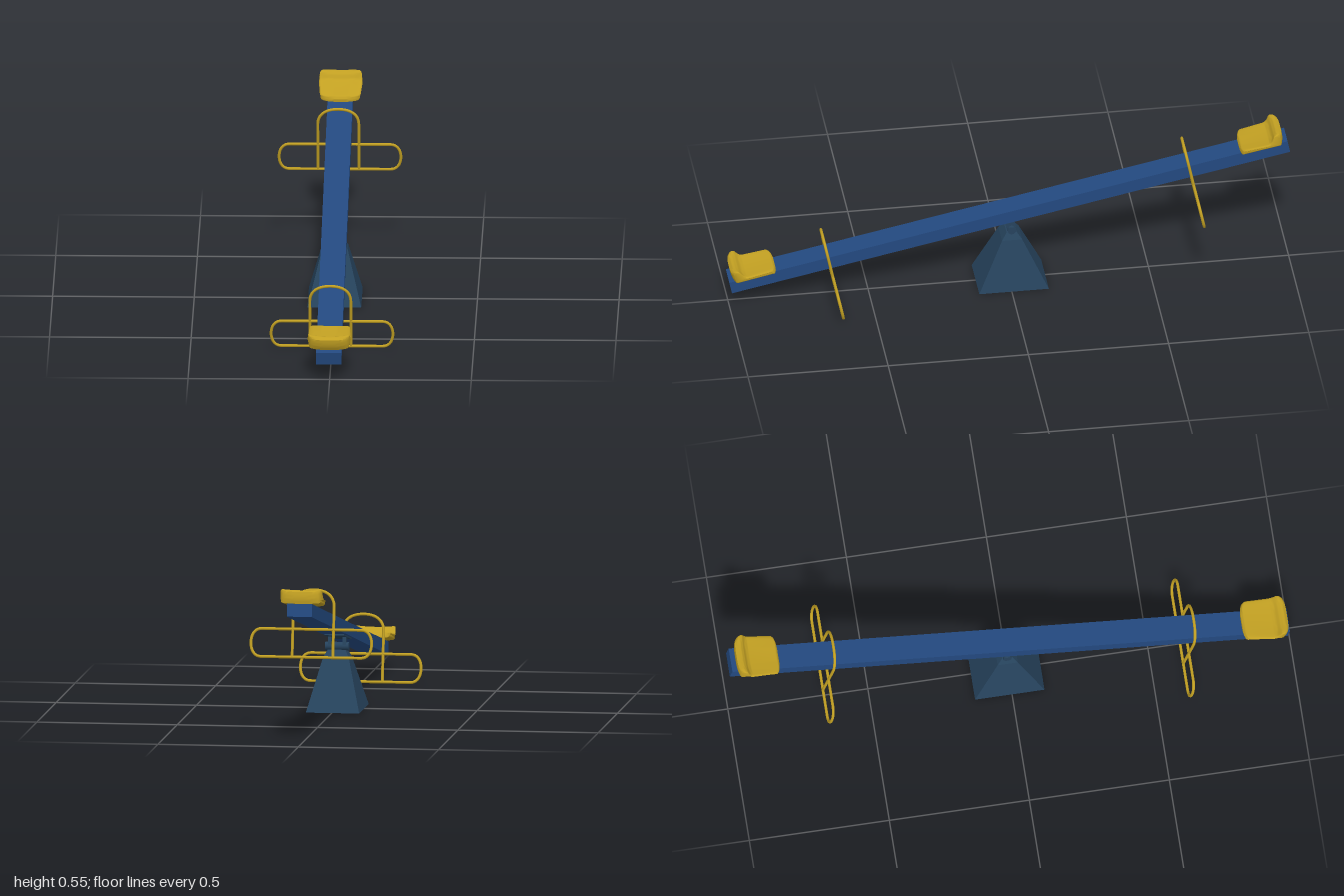
import * as THREE from 'three';
import { mergeVertices, toCreasedNormals } from 'three/addons/utils/BufferGeometryUtils.js';

const TILT = 0.2036;
const THICK = 0.046;

function material(name, color) {
  const m = new THREE.MeshStandardMaterial({ color });
  m.name = name;
  return m;
}

function addMesh(parent, name, geometry, mat, x = 0, y = 0, z = 0) {
  const mesh = new THREE.Mesh(geometry, mat);
  mesh.name = name;
  mesh.position.set(x, y, z);
  parent.add(mesh);
  return mesh;
}

// Four-sided frustum standing on its base, with flat faces
function frustum(bottomX, bottomZ, topX, topZ, height) {
  const g = new THREE.BoxGeometry(2, height, 2);
  const p = g.attributes.position;
  for (let i = 0; i < p.count; i++) {
    const top = p.getY(i) > 0;
    p.setX(i, p.getX(i) * (top ? topX : bottomX));
    p.setZ(i, p.getZ(i) * (top ? topZ : bottomZ));
  }
  g.translate(0, height / 2, 0);
  g.computeVertexNormals();
  return g;
}

// Bent tube following a flat path
function pipe(path, count, closed) {
  const points = path.getSpacedPoints(count).map((p) => new THREE.Vector3(p.x, p.y, 0));
  if (closed) points.pop();
  const curve = new THREE.CatmullRomCurve3(points, closed);
  return new THREE.TubeGeometry(curve, count * 2, 0.0052, 8, closed);
}

// Wide rounded loop for the feet
function footrestGeometry() {
  const path = new THREE.Path();
  const w = 0.215, s = 0.178, top = -0.044, bottom = -0.143, mid = -0.0935;
  path.moveTo(-s, bottom);
  path.lineTo(s, bottom);
  path.bezierCurveTo(s + 0.026, bottom, w, mid - 0.025, w, mid);
  path.bezierCurveTo(w, mid + 0.025, s + 0.026, top, s, top);
  path.lineTo(-s, top);
  path.bezierCurveTo(-s - 0.026, top, -w, mid + 0.025, -w, mid);
  path.bezierCurveTo(-w, mid - 0.025, -s - 0.026, bottom, -s, bottom);
  return pipe(path, 72, true);
}

// Upright arch for the hands
function handleGeometry() {
  const path = new THREE.Path();
  const w = 0.0725, top = 0.096;
  path.moveTo(-w, -0.143);
  path.lineTo(-w, 0.035);
  path.bezierCurveTo(-w, 0.075, -0.045, top, 0, top);
  path.bezierCurveTo(0.045, top, w, 0.075, w, 0.035);
  path.lineTo(w, -0.143);
  return pipe(path, 56, false);
}

// Padded seat with a raised back lip, bowed at its edges
function seatGeometry() {
  const s = new THREE.Shape();
  s.moveTo(-0.074, 0.006);
  s.lineTo(0.07, 0.006);
  s.quadraticCurveTo(0.077, 0.02, 0.075, 0.04);
  s.quadraticCurveTo(0.067, 0.049, 0.056, 0.041);
  s.quadraticCurveTo(0.045, 0.02, 0.028, 0.016);
  s.lineTo(-0.066, 0.016);
  s.quadraticCurveTo(-0.075, 0.015, -0.074, 0.006);
  let g = new THREE.ExtrudeGeometry(s, {
    depth: 0.14, steps: 12, curveSegments: 6,
    bevelEnabled: true, bevelThickness: 0.007, bevelSize: 0.005, bevelSegments: 3,
  });
  g.translate(0, 0, -0.07);
  g.rotateY(-Math.PI / 2);
  const p = g.attributes.position;
  for (let i = 0; i < p.count; i++) {
    const x = p.getX(i), z = p.getZ(i);
    const k = (x / 0.077) ** 2;
    p.setXYZ(i, x * (1 - 0.14 * (z / 0.08) ** 4), p.getY(i) + 0.004 * k, z * (1 - 0.12 * k * k));
  }
  g.deleteAttribute('uv');
  g.deleteAttribute('normal');
  g = mergeVertices(g, 1e-5);
  return toCreasedNormals(g, 0.7);
}

export function createModel() {
  const blue = material('beam blue', 0x23497f);
  const slate = material('base slate blue', 0x26435d);
  const yellow = material('seat yellow', 0xc2a022);
  const model = new THREE.Group();
  model.name = 'seesaw';

  // Fixed pivot stand
  const stand = new THREE.Group();
  stand.name = 'stand';
  stand.position.set(-0.003, 0, -0.008);
  model.add(stand);
  addMesh(stand, 'standBase', frustum(0.095, 0.124, 0.046, 0.036, 0.185), slate);
  addMesh(stand, 'standCap', frustum(0.046, 0.036, 0.032, 0.018, 0.025), slate, 0, 0.185, 0);
  const axle = new THREE.CylinderGeometry(0.015, 0.015, 0.084, 16);
  axle.rotateZ(Math.PI / 2);
  addMesh(stand, 'pivotAxle', axle, slate, 0, 0.222, 0);

  // Tilting assembly
  const tilting = new THREE.Group();
  tilting.name = 'tiltingBeam';
  tilting.position.y = 0.281;
  tilting.rotation.x = TILT;
  model.add(tilting);
  addMesh(tilting, 'beam', new THREE.BoxGeometry(0.089, THICK, 2.033), blue, -0.0035, 0, 0);
  addMesh(tilting, 'pivotPlate', new THREE.BoxGeometry(0.07, 0.006, 0.2), slate, -0.0035, -THICK / 2 - 0.002, 0.01);
  for (const side of [-1, 1]) {
    addMesh(tilting, 'pivotBracket', new THREE.BoxGeometry(0.012, 0.03, 0.034), slate, -0.0035 + side * 0.026, -THICK / 2 - 0.018, 0.004);
  }

  // Matching seat, handle and footrest at each end
  const seat = seatGeometry(), handle = handleGeometry(), footrest = footrestGeometry();
  for (const dir of [1, -1]) {
    const end = new THREE.Group();
    end.name = dir > 0 ? 'frontEnd' : 'backEnd';
    end.rotation.y = dir > 0 ? 0 : Math.PI;
    tilting.add(end);
    addMesh(end, 'seat', seat, yellow, -0.003 * dir, THICK / 2, 0.924);
    addMesh(end, 'handle', handle, yellow, -0.0055 * dir, 0, 0.657);
    addMesh(end, 'footrest', footrest, yellow, 0, 0, 0.657);
  }
  return model;
}
